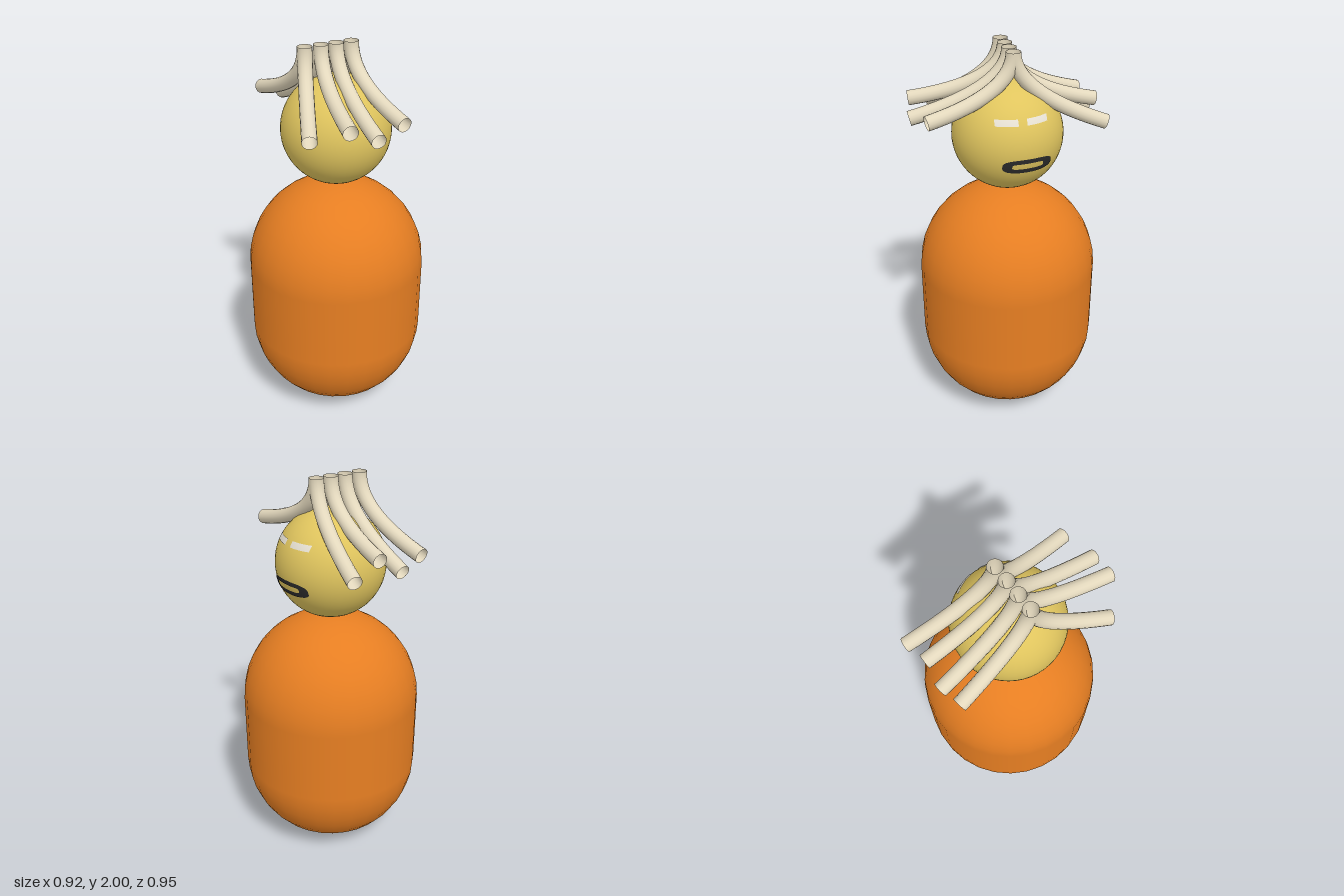
import * as THREE from 'three';
import { ParametricGeometry } from 'three/addons/geometries/ParametricGeometry.js';

const HEAD_R = 0.275;
const HEAD_Y = 1.575;
const CZ = -0.01;

function material(name, color, side = THREE.FrontSide) {
  const m = new THREE.MeshStandardMaterial({ color, side });
  m.name = name;
  return m;
}

// Places a point (z, y) of the face just above the head's +x surface
function onHead(z, y, target) {
  const r = HEAD_R + 0.003;
  const dy = y - HEAD_Y, dz = z - CZ;
  target.set(Math.sqrt(r * r - dy * dy - dz * dz), y, z);
}

// Point on a rounded rectangle outline
function roundedPoint(angle, halfW, halfH, power) {
  const c = Math.cos(angle), s = Math.sin(angle);
  return [
    halfW * Math.sign(c) * Math.abs(c) ** power,
    halfH * Math.sign(s) * Math.abs(s) ** power,
  ];
}

export function createModel() {
  const model = new THREE.Group();
  model.name = 'figure';

  const orange = material('body orange', 0xe67e22);
  const yellow = material('head yellow', 0xe0c55e);
  const cream = material('hair cream', 0xe3d8bd, THREE.DoubleSide);
  const black = material('mouth black', 0x2b2b2b, THREE.DoubleSide);
  const white = material('eye white', 0xe8e2d4, THREE.DoubleSide);

  function add(name, geometry, mat, parent = model) {
    const mesh = new THREE.Mesh(geometry, mat);
    mesh.name = name;
    parent.add(mesh);
    return mesh;
  }

  // Body and head
  add('body', new THREE.CapsuleGeometry(0.46, 0.375, 10, 30), orange).position.set(0, 0.6475, CZ);
  add('head', new THREE.SphereGeometry(HEAD_R, 48, 32), yellow).position.set(0, HEAD_Y, CZ);

  // Eyes: narrow bars curved over the head
  for (const [name, zc] of [['leftEye', -0.093], ['rightEye', 0.055]]) {
    const eye = new ParametricGeometry((u, v, t) => {
      onHead(zc + (u - 0.5) * 0.106, 1.715 + (v - 0.5) * 0.028, t);
    }, 10, 3);
    add(name, eye, white);
  }

  // Mouth: rounded ring curved over the head
  const mouth = new ParametricGeometry((u, v, t) => {
    const a = u * Math.PI * 2;
    const inner = roundedPoint(a, 0.078, 0.014, 0.4);
    const outer = roundedPoint(a, 0.123, 0.037, 0.65);
    onHead(-0.04 + THREE.MathUtils.lerp(inner[0], outer[0], v),
      1.507 + THREE.MathUtils.lerp(inner[1], outer[1], v), t);
  }, 64, 3);
  add('mouth', mouth, black);

  // Hair: each root sends one open tube forward and one backward
  const hair = new THREE.Group();
  hair.name = 'hair';
  model.add(hair);
  const strands = [
    { root: -0.157, front: [-0.295, 1.68, 0.335], back: [-0.22, 1.69, -0.438] },
    { root: -0.075, front: [-0.15, 1.74, 0.447], back: [-0.1, 1.64, -0.457] },
    { root: 0.004, front: [-0.02, 1.685, 0.465], back: [0.02, 1.715, -0.447] },
    { root: 0.083, front: [0.14, 1.715, 0.41], back: [0.162, 1.645, -0.46] },
  ];
  strands.forEach(({ root, front, back }, i) => {
    for (const [side, tip] of [['front', front], ['back', back]]) {
      const path = new THREE.QuadraticBezierCurve3(
        new THREE.Vector3(root, 2, -0.016),
        new THREE.Vector3(root, 1.8, -0.016),
        new THREE.Vector3(...tip));
      add(`${side}Hair${i + 1}`, new THREE.TubeGeometry(path, 24, 0.036, 16, false), cream, hair);
    }
  });

  return model;
}
